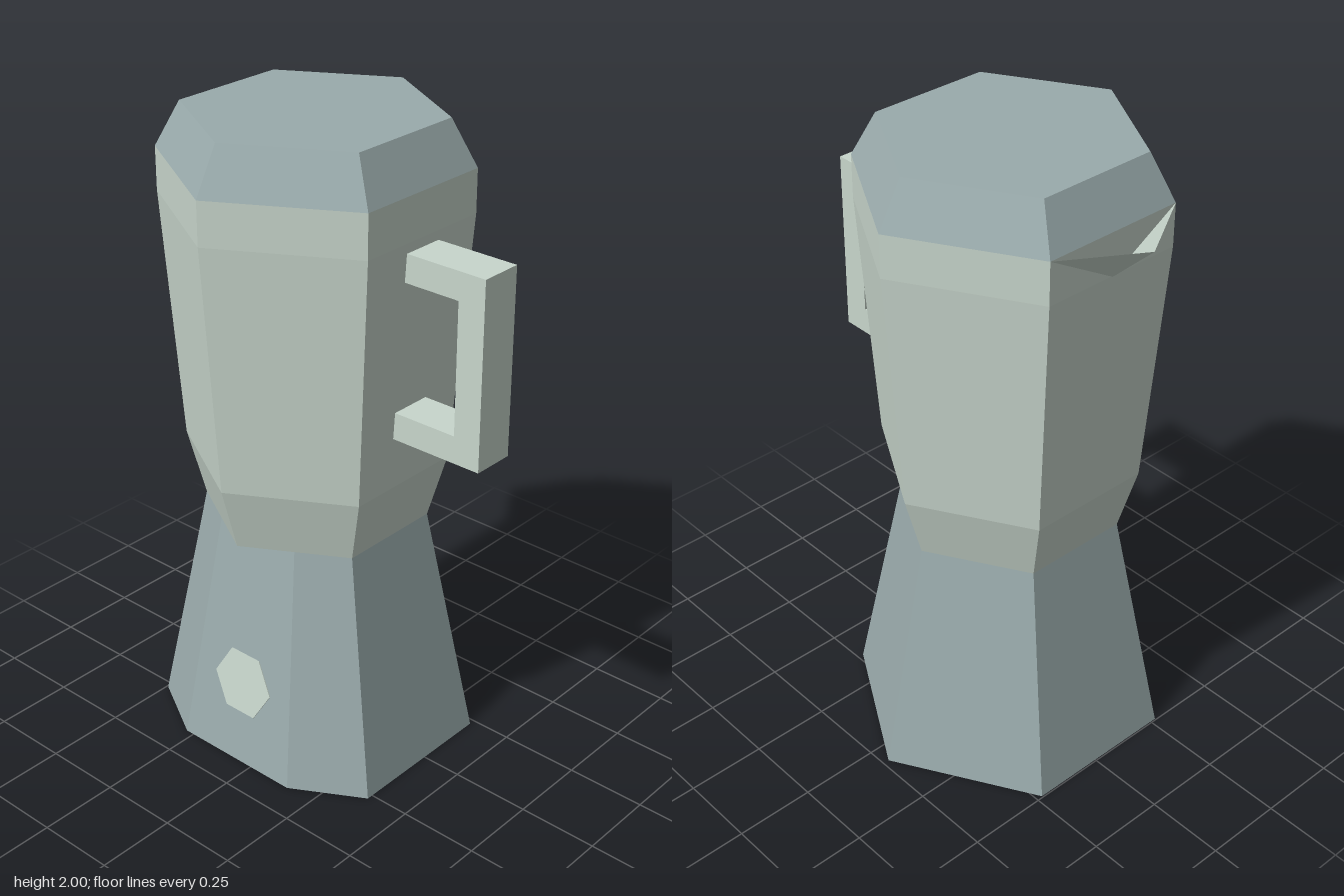
import * as THREE from 'three';
import { ConvexGeometry } from 'three/addons/geometries/ConvexGeometry.js';

const CX = -0.0625, CZ = 0.02; // axis of the pot
const COS30 = Math.cos(Math.PI / 6);

export function createModel() {
  const pot = new THREE.Group();
  pot.name = 'mokaPot';

  const paleMetal = new THREE.MeshStandardMaterial({ color: 0xc8d6cc });
  paleMetal.name = 'paleMetal';
  const blueGreyMetal = new THREE.MeshStandardMaterial({ color: 0x9aabac });
  blueGreyMetal.name = 'blueGreyMetal';
  const spoutMetal = new THREE.MeshStandardMaterial({ color: 0xc8d6cc, side: THREE.DoubleSide });
  spoutMetal.name = 'spoutMetal';

  const add = (name, geometry, material, x = 0, y = 0, z = 0) => {
    const mesh = new THREE.Mesh(geometry, material);
    mesh.name = name;
    mesh.position.set(x, y, z);
    pot.add(mesh);
    return mesh;
  };

  // Six-sided flat-faced solid from [radius, height] rings, one corner at the front
  const hexLathe = (profile) => {
    const g = new THREE.LatheGeometry(profile.map(([r, y]) => new THREE.Vector2(r, y)), 6).toNonIndexed();
    g.computeVertexNormals();
    return g;
  };

  // Boiler: tapered hexagon whose front corner is cut off at mid-edge
  const ring = (r, y) => {
    const a = r * COS30;
    return [[0, -r], [a, -r / 2], [a, r / 2], [a / 2, r * 0.75], [-a / 2, r * 0.75], [-a, r / 2], [-a, -r / 2]]
      .map(([x, z]) => new THREE.Vector3(x, y, z));
  };
  const baseR = 0.5, neckR = 0.343, neckY = 0.757;
  add('boiler', new ConvexGeometry([...ring(baseR, 0), ...ring(neckR, neckY)]), blueGreyMetal, CX, 0, CZ);

  // Safety valve: thin hexagonal plate lying on the cut front face
  const valveY = 0.265;
  const slope = 0.75 * (baseR - neckR) / neckY;
  const valveGeo = new THREE.CylinderGeometry(0.113, 0.113, 0.006, 6, 1, false, Math.PI / 2).toNonIndexed();
  valveGeo.computeVertexNormals();
  const valve = add('safetyValve', valveGeo, paleMetal, CX, valveY, CZ + 0.75 * baseR - slope * valveY);
  valve.rotation.x = Math.PI / 2 - Math.atan(slope);

  // Upper jug with closed underside
  add('jug', hexLathe([[0, neckY], [neckR, neckY], [0.4, 0.96], [0.458, 1.73], [0.458, 1.862]]), paleMetal, CX, 0, CZ);

  // Bevelled lid
  add('lid', hexLathe([[0.458, 1.862], [0.382, 2], [0, 2]]), blueGreyMetal, CX, 0, CZ);

  // Spout: open V-shaped channel on the -x face
  const wallX = CX - 0.458 * COS30;
  const tip = [-0.6, 1.862, CZ], low = [wallX, 1.727, CZ];
  const back = [wallX, 1.862, CZ - 0.229], front = [wallX, 1.862, CZ + 0.229];
  const spoutGeo = new THREE.BufferGeometry();
  spoutGeo.setAttribute('position', new THREE.Float32BufferAttribute(
    [tip, back, low, tip, low, front].flat(), 3));
  spoutGeo.computeVertexNormals();
  add('spout', spoutGeo, spoutMetal);

  // Handle: square C-shaped bracket on the +x face
  const outline = [[0.325, 1.7], [0.325, 1.615], [0.51, 1.615], [0.51, 1.212], [0.28, 1.212], [0.28, 1.128],
    [0.597, 1.128], [0.597, 1.7]].map(([x, y]) => new THREE.Vector2(x, y));
  const handleGeo = new THREE.ExtrudeGeometry(new THREE.Shape(outline), { depth: 0.134, bevelEnabled: false });
  add('handle', handleGeo, paleMetal, 0, 0, CZ - 0.067);

  return pot;
}
